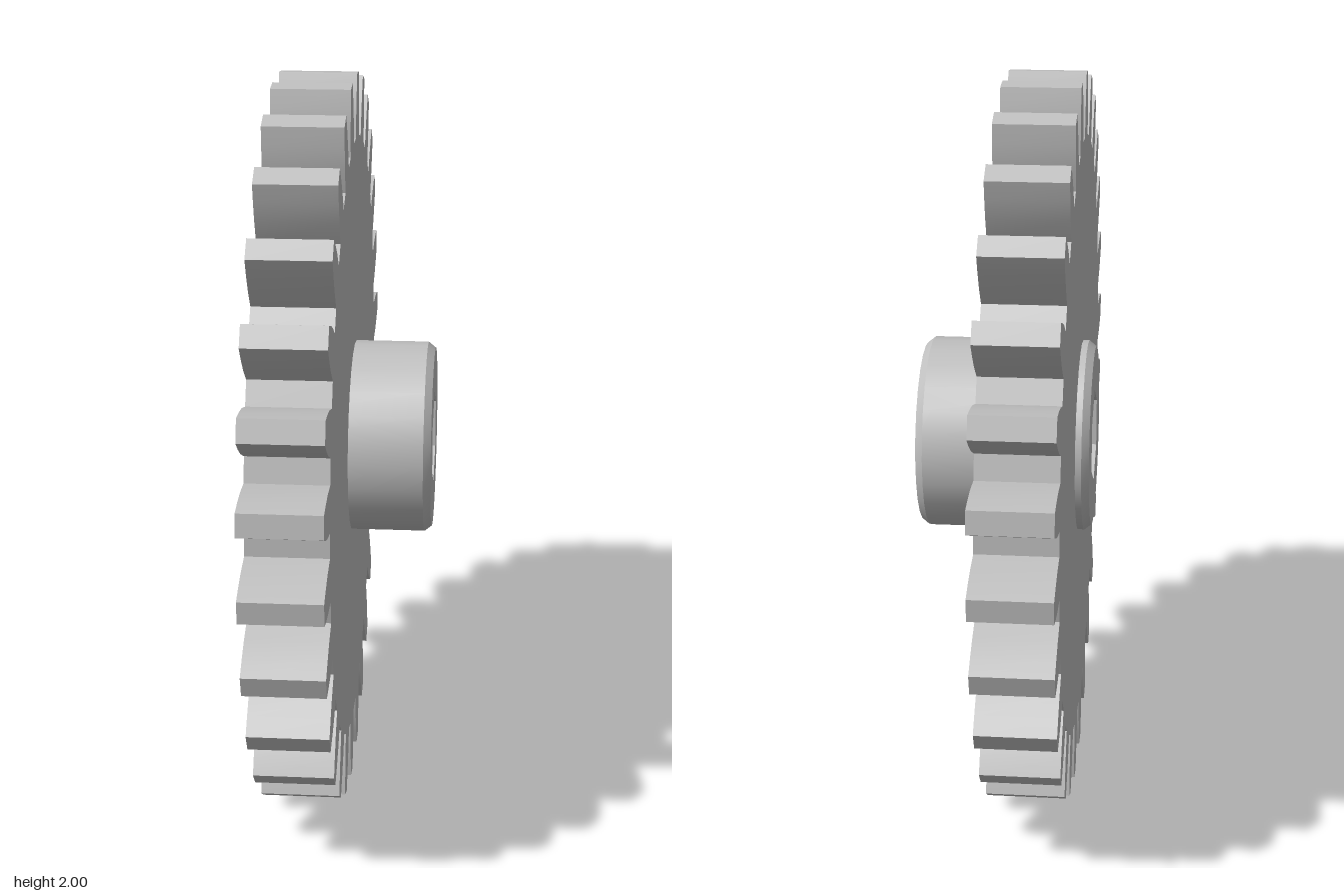
import * as THREE from 'three';
import { mergeGeometries, toCreasedNormals } from 'three/addons/utils/BufferGeometryUtils.js';

const TEETH = 28;
const HUB_R = 0.265, HUB_END = 0.235, CHAMFER = 0.02, HUB_SIDES = 24;
const BORE_R = 0.133;

// Half of one tooth, root to tip: [radius, half width]
const FLANK = [[0.832, 0.06], [0.9, 0.055], [0.955, 0.044], [1.0034, 0.03]];

function gearOutline() {
  const points = [];
  const add = (r, angle) => points.push(new THREE.Vector2(r * Math.cos(angle), r * Math.sin(angle)));
  for (let i = 0; i < TEETH; i++) {
    const mid = ((i + 0.5) / TEETH) * Math.PI * 2;
    for (const [r, w] of FLANK) add(r, mid - Math.asin(w / r));
    for (const [r, w] of [...FLANK].reverse()) add(r, mid + Math.asin(w / r));
  }
  return new THREE.Shape(points);
}

// Toothed disc with a round opening hidden inside the hub
function gearGeometry() {
  const shape = gearOutline();
  shape.holes.push(new THREE.Path().absarc(0, 0, HUB_R - 0.02, 0, Math.PI * 2, true));
  const geo = new THREE.ExtrudeGeometry(shape, { depth: 0.211, bevelEnabled: false, curveSegments: HUB_SIDES });
  geo.translate(0, 0, -0.198);
  return toCreasedNormals(geo, 0.15);
}

// Chamfered hub: turned wall, two end faces and a hexagonal bore
function hubGeometry() {
  const endR = HUB_R - 0.016;
  const wall = new THREE.LatheGeometry([
    new THREE.Vector2(endR, -HUB_END),
    new THREE.Vector2(HUB_R, -HUB_END + CHAMFER),
    new THREE.Vector2(HUB_R, HUB_END - CHAMFER),
    new THREE.Vector2(endR, HUB_END),
  ], HUB_SIDES).rotateX(Math.PI / 2);

  const hexagon = Array.from({ length: 6 }, (_, i) => {
    const a = Math.PI / 2 - (i * Math.PI) / 3;
    return new THREE.Vector2(BORE_R * Math.cos(a), BORE_R * Math.sin(a));
  });
  const face = new THREE.Shape().absarc(0, 0, endR, 0, Math.PI * 2, false);
  face.holes.push(new THREE.Path(hexagon));
  const front = new THREE.ShapeGeometry(face, HUB_SIDES).translate(0, 0, HUB_END);
  const back = front.clone().rotateY(Math.PI);

  // Mirrored so that the bore walls face the axis
  const bore = new THREE.CylinderGeometry(BORE_R, BORE_R, HUB_END * 2, 6, 1, true)
    .rotateX(Math.PI / 2).scale(-1, 1, 1);

  return toCreasedNormals(mergeGeometries([wall, front, back, bore]), 0.5);
}

export function createModel() {
  const metal = new THREE.MeshStandardMaterial({ color: 0xbfbfbf });
  metal.name = 'light grey metal';

  const model = new THREE.Group();
  model.name = 'spurGear';
  const parts = { toothedDisc: gearGeometry(), hub: hubGeometry() };
  for (const [name, geometry] of Object.entries(parts)) {
    const mesh = new THREE.Mesh(geometry, metal);
    mesh.name = name;
    model.add(mesh);
  }

  // Axle runs along x
  model.rotation.y = Math.PI / 2;
  model.position.y = 1;
  const root = new THREE.Group();
  root.add(model);
  return root;
}
